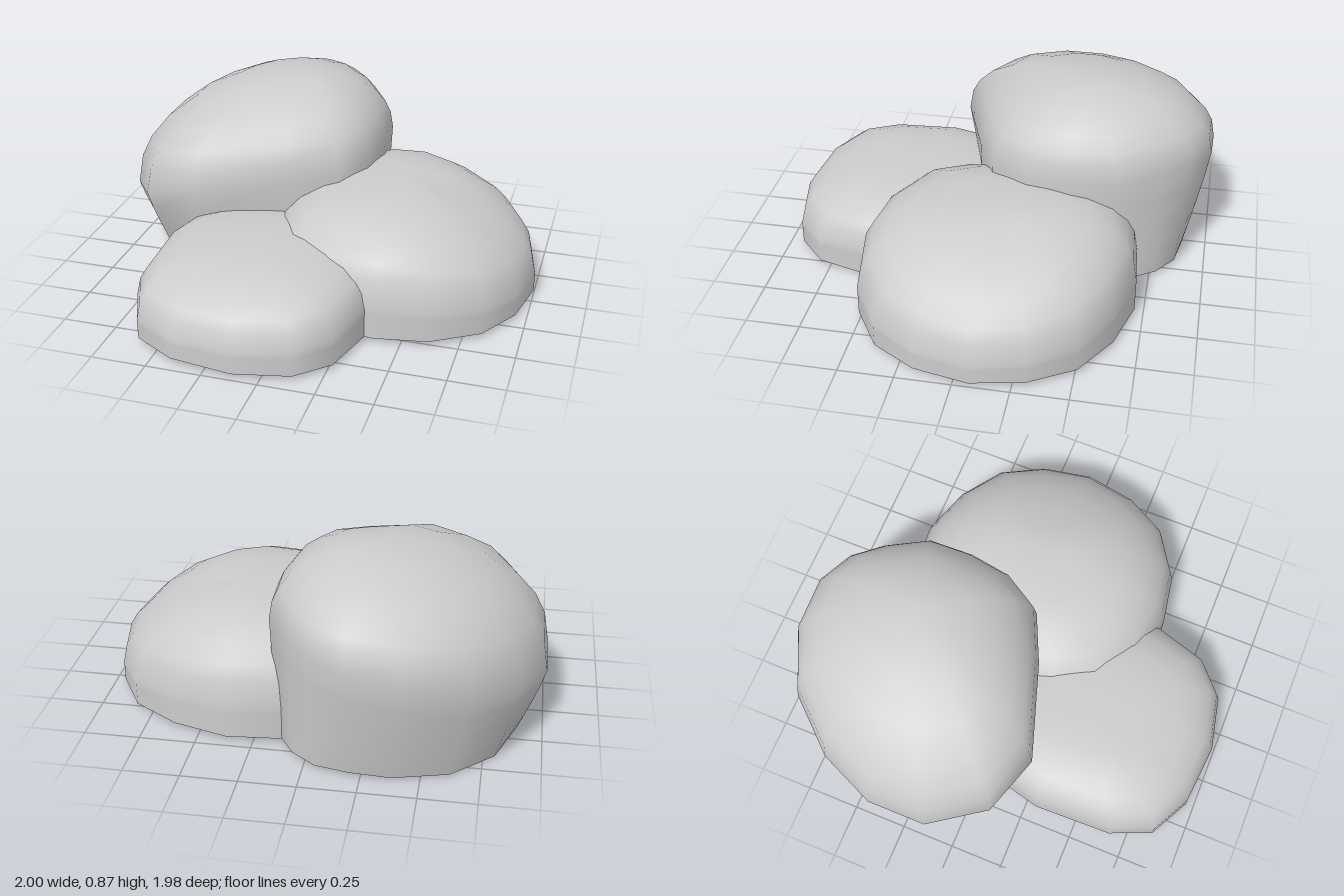
import * as THREE from 'three';

const stone = new THREE.MeshStandardMaterial({ color: 0xcccccc, side: THREE.DoubleSide });
stone.name = 'stone grey';

// A hollow boulder: plan outline at its widest, a lower wall down to an open
// base, and a dome whose rings shrink towards the peak.
function boulder({ name, outline, base = outline, peak, baseY, shoulder, roundness }) {
  const n = outline.length;
  const pos = [];
  const index = [];
  const lower = [0, 0.25, 0.5, 0.75];
  const upper = [1, 0.97, 0.91, 0.8, 0.63, 0.42, 0.2];
  const [px, py, pz] = peak;

  // Lower wall, from the open rim up to the widest line
  for (const u of lower) {
    const k = 1 - (1 - u) ** 1.15;
    outline.forEach(([x, z], j) => {
      const [bx, bz] = base[j];
      const y = baseY(bx);
      pos.push(bx + (x - bx) * k, y + (shoulder(x, z) - y) * u, bz + (z - bz) * k);
    });
  }
  // Dome
  for (const s of upper) {
    for (const [x, z] of outline) {
      const y = shoulder(x, z);
      const side = (x - px) / Math.hypot(x - px, z - pz);
      pos.push(
        px + (x - px) * s,
        y + (py - y) * Math.sqrt(1 - s ** roundness(side)),
        pz + (z - pz) * s);
    }
  }
  const rings = lower.length + upper.length;
  for (let i = 0; i < rings - 1; i++) {
    for (let j = 0; j < n; j++) {
      const a = i * n + j;
      const b = i * n + (j + 1) % n;
      index.push(b, a, a + n, b, a + n, b + n);
    }
  }
  // Close the top at the peak
  const top = pos.length / 3;
  pos.push(px, py, pz);
  const last = (rings - 1) * n;
  for (let j = 0; j < n; j++) index.push(last + (j + 1) % n, last + j, top);

  const geo = new THREE.BufferGeometry();
  geo.setAttribute('position', new THREE.Float32BufferAttribute(pos, 3));
  geo.setIndex(index);
  geo.computeVertexNormals();
  const mesh = new THREE.Mesh(geo, stone);
  mesh.name = name;
  return mesh;
}

export function createModel() {
  const group = new THREE.Group();
  group.name = 'boulders';

  // Tall leaning boulder at the back, undercut towards its base
  group.add(boulder({
    name: 'largeBoulder',
    outline: [[-0.43, -0.99], [-0.19, -0.985], [-0.03, -0.9], [0.08, -0.77], [0.19, -0.58],
      [0.2, -0.37], [0.17, -0.17], [0.07, 0], [-0.15, 0.1], [-0.58, 0.24], [-0.84, 0.14],
      [-1, -0.12], [-1, -0.4], [-0.89, -0.66], [-0.69, -0.88]],
    base: [[-0.38, -0.89], [-0.2, -0.885], [-0.05, -0.86], [0.06, -0.78], [0.14, -0.66],
      [0.17, -0.42], [0.15, -0.2], [0.08, 0], [-0.15, 0.08], [-0.5, 0.12], [-0.74, 0.04],
      [-0.88, -0.17], [-0.89, -0.4], [-0.8, -0.65], [-0.62, -0.82]],
    peak: [-0.22, 0.87, -0.42],
    baseY: (x) => 0.018 + 0.02 * Math.min(x, 0),
    shoulder: (x, z) => 0.5 + 0.2 * x + 0.3 * Math.max(z, 0) + 0.18 * Math.max(-0.5 - z, 0),
    roundness: () => 2.15,
  }));

  // Broad boulder, sloping more gently to its outer side
  group.add(boulder({
    name: 'mediumBoulder',
    outline: [[0.37, -0.71], [0.62, -0.64], [0.83, -0.51], [0.95, -0.31], [1, -0.07],
      [0.95, 0.18], [0.83, 0.38], [0.62, 0.51], [0.38, 0.55], [0.14, 0.52], [-0.1, 0.4],
      [-0.2, 0.2], [-0.24, -0.1], [-0.16, -0.38], [-0.03, -0.57], [0.13, -0.69]],
    peak: [0.38, 0.505, -0.12],
    baseY: () => 0.02,
    shoulder: (x) => 0.18 - 0.14 * Math.max(x - 0.5, 0),
    roundness: (side) => 3.6 - 2.1 * Math.max(side, 0),
  }));

  // Low flat boulder at the front
  group.add(boulder({
    name: 'smallBoulder',
    outline: [[-0.06, -0.13], [0.2, -0.05], [0.32, 0.13], [0.35, 0.35], [0.34, 0.55],
      [0.27, 0.8], [0.13, 0.93], [-0.12, 0.985], [-0.4, 0.96], [-0.59, 0.86], [-0.67, 0.67],
      [-0.68, 0.3], [-0.64, 0.14], [-0.53, -0.02], [-0.33, -0.13]],
    peak: [-0.22, 0.37, 0.4],
    baseY: (x) => 0.02 + 0.04 * Math.max(-0.1 - x, 0),
    shoulder: (x, z) => 0.17 - 0.08 * Math.max(z - 0.4, 0),
    roundness: (side) => 2.8 + 0.9 * Math.abs(side),
  }));

  return group;
}
